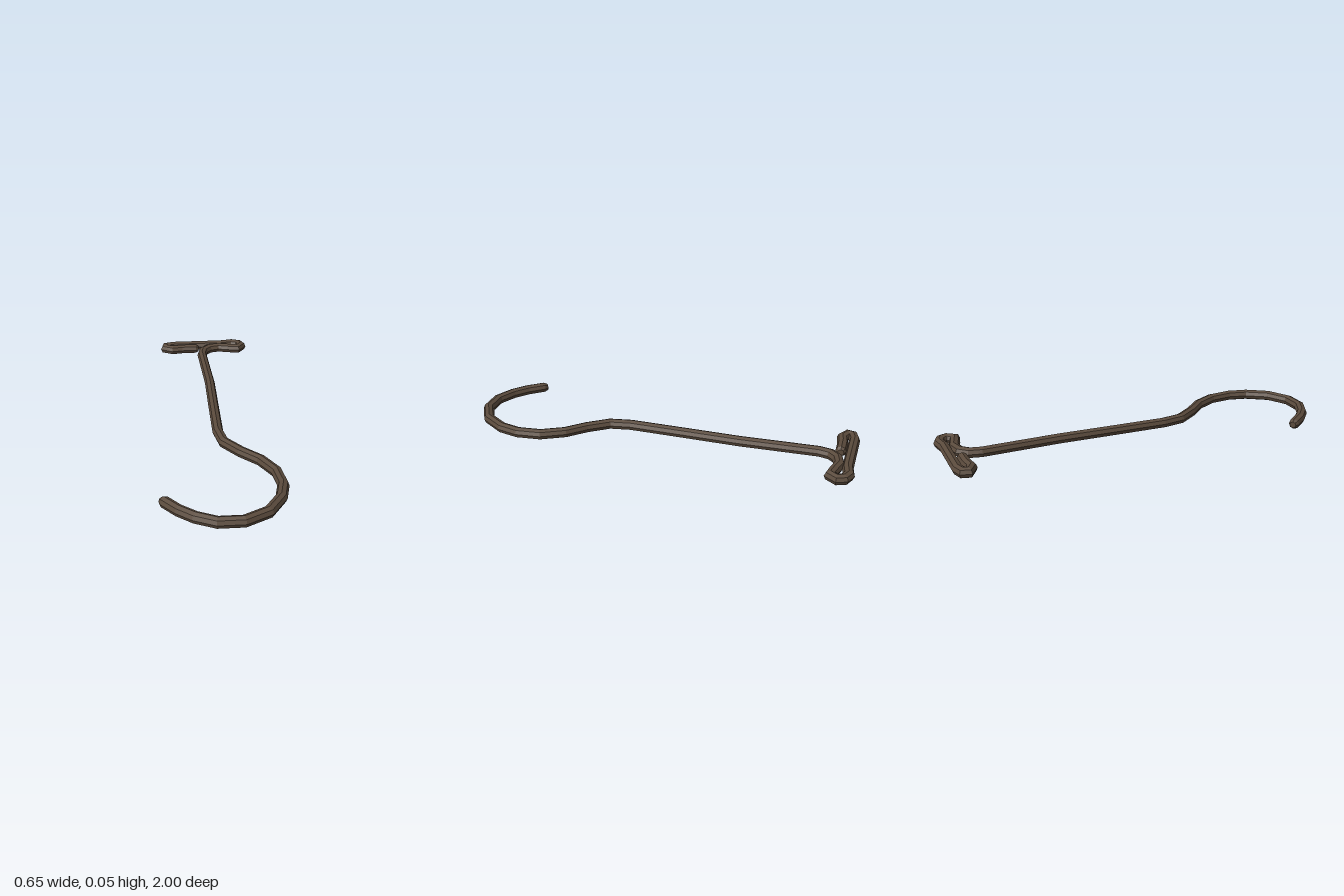
import * as THREE from 'three';

const R = 0.0275; // rod radius
const SIDES = 8;

// Centre line of the bent rod as [x, z], lying flat on the ground
const hook = [[-0.303, 0.78], [-0.246, 0.857], [-0.18, 0.918], [-0.09, 0.967], [0.025, 0.972], [0.14, 0.915],
  [0.215, 0.81], [0.243, 0.71], [0.235, 0.59], [0.18, 0.475], [0.10, 0.385], [0.03, 0.28], [0.015, 0.17]];
const shank = [[0.03, -0.13], [0.045, -0.41], [0.047, -0.81]];
const handle = [[0.062, -0.868], [0.10, -0.905], [0.16, -0.918], [0.215, -0.9], [0.27, -0.885], [0.297, -0.92],
  [0.285, -0.952], [0.247, -0.97], [0.18, -0.96], [-0.11, -0.972], [-0.155, -0.96], [-0.163, -0.935],
  [-0.12, -0.91], [-0.065, -0.917], [0.02, -0.915]];

// Sweeps an octagon along the path with mitred joints and bevelled ends
function sweepRod(path) {
  const pts = path.map(([x, z]) => new THREE.Vector3(x, R, z));
  const last = pts.length - 1;
  const dir = (a, b) => pts[b].clone().sub(pts[a]).normalize();
  const pos = [], idx = [];
  const addRing = (c, tangent, r, miter) => {
    const side = new THREE.Vector3(-tangent.z, 0, tangent.x);
    for (let k = 0; k < SIDES; k++) {
      const a = k / SIDES * Math.PI * 2;
      const p = c.clone().addScaledVector(side, Math.cos(a) * r * miter);
      pos.push(p.x, p.y + Math.sin(a) * r, p.z);
    }
  };
  const start = dir(0, 1), end = dir(last - 1, last);
  addRing(pts[0].clone().addScaledVector(start, -0.018), start, R * 0.6, 1);
  pts.forEach((p, i) => {
    const before = i > 0 ? dir(i - 1, i) : start;
    const after = i < last ? dir(i, i + 1) : end;
    const tangent = before.clone().add(after).normalize();
    addRing(p, tangent, R, Math.min(1 / tangent.dot(after), 1.12));
  });
  addRing(pts[last].clone().addScaledVector(end, 0.015), end, R * 0.6, 1);

  const rings = pts.length + 2;
  for (let i = 0; i < rings - 1; i++) {
    for (let k = 0; k < SIDES; k++) {
      const a = i * SIDES + k, b = i * SIDES + (k + 1) % SIDES;
      idx.push(a, a + SIDES, b, b, a + SIDES, b + SIDES);
    }
  }
  // Flat end caps
  const e = (rings - 1) * SIDES;
  for (let k = 1; k < SIDES - 1; k++) idx.push(0, k, k + 1, e, e + k + 1, e + k);

  const geo = new THREE.BufferGeometry();
  geo.setAttribute('position', new THREE.Float32BufferAttribute(pos, 3));
  geo.setIndex(idx);
  const flat = geo.toNonIndexed();
  flat.computeVertexNormals();
  return flat;
}

export function createModel() {
  const group = new THREE.Group();
  group.name = 'hook';
  const iron = new THREE.MeshStandardMaterial({ color: 0x5a4a3c, flatShading: true, side: THREE.DoubleSide });
  // One continuous rod: hook, shank, then the folded handle
  const rod = new THREE.Mesh(sweepRod([...hook, ...shank, ...handle]), iron);
  rod.name = 'bentRod';
  group.add(rod);
  return group;
}
